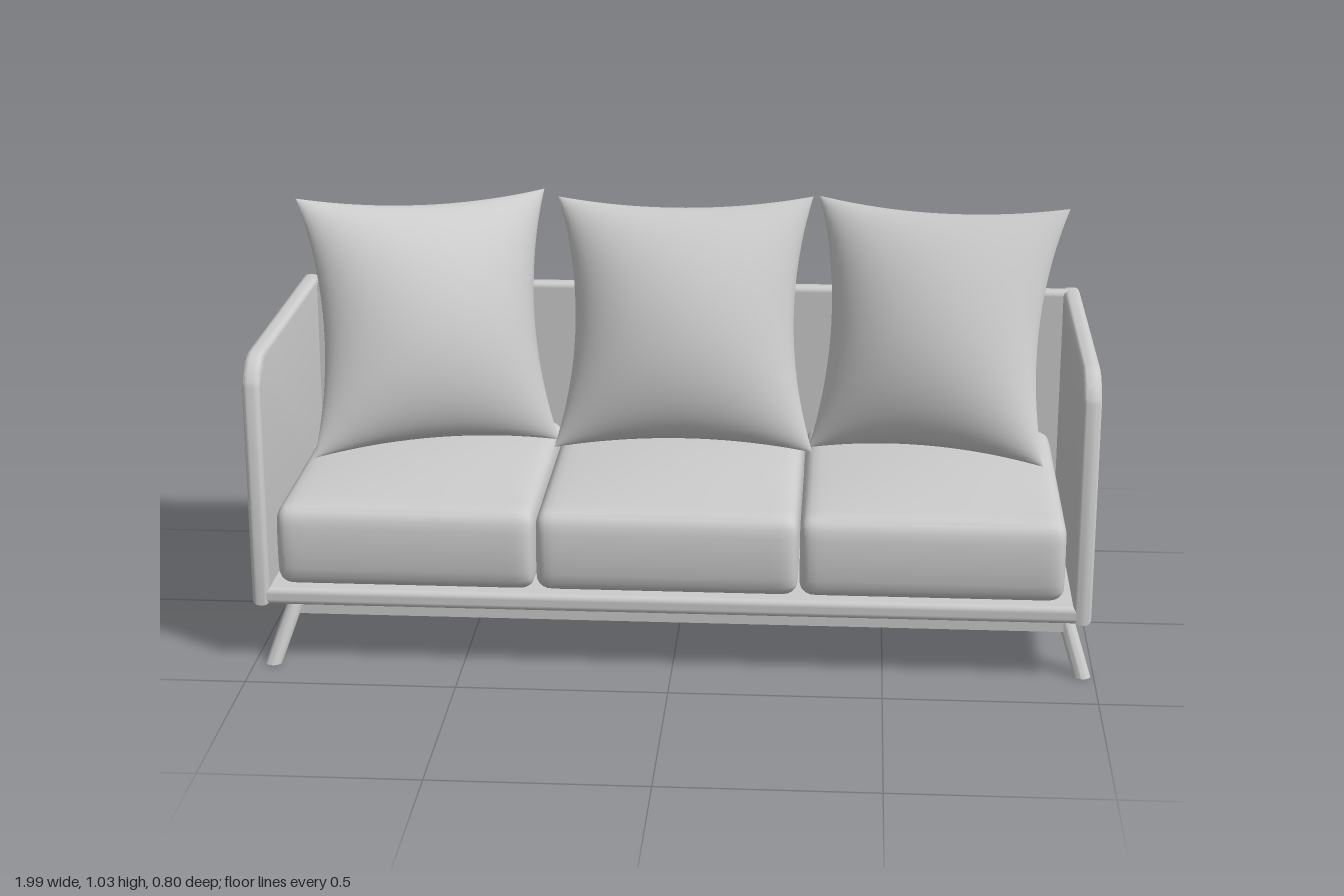
import * as THREE from 'three';
import { mergeVertices, mergeGeometries, toCreasedNormals } from 'three/addons/utils/BufferGeometryUtils.js';
import { RoundedBoxGeometry } from 'three/addons/geometries/RoundedBoxGeometry.js';

const material = new THREE.MeshStandardMaterial({ color: 0xcccccc });
const V = (x, y, z) => new THREE.Vector3(x, y, z);
const ease = (t) => Math.sin(t * Math.PI / 2);

function addMesh(parent, name, geometry) {
  const mesh = new THREE.Mesh(geometry, material);
  mesh.name = name;
  parent.add(mesh);
  return mesh;
}

// Move every vertex of a geometry by a rule
function reshape(geometry, rule) {
  const pos = geometry.attributes.position;
  const p = V(0, 0, 0);
  for (let i = 0; i < pos.count; i++) {
    rule(p.fromBufferAttribute(pos, i));
    pos.setXYZ(i, p.x, p.y, p.z);
  }
  geometry.computeVertexNormals();
  return geometry;
}

// Softly rounded box given by its limits
function panel(x0, x1, y0, y1, z0, z1, r = 0.014) {
  const g = new RoundedBoxGeometry(x1 - x0, y1 - y0, z1 - z0, 3, r);
  return g.translate((x0 + x1) / 2, (y0 + y1) / 2, (z0 + z1) / 2);
}

// Arm panel: side profile with a rounded upper front corner
function armPanel(x0, x1) {
  const b = 0.014;
  const s = new THREE.Shape();
  s.moveTo(-0.37 + b, 0.15 + b);
  s.lineTo(0.39 - b, 0.15 + b);
  s.lineTo(0.39 - b, 0.69);
  s.bezierCurveTo(0.365, 0.715, 0.34, 0.746, 0.30, 0.76 - b);
  s.lineTo(-0.37 + b, 0.76 - b);
  const g = new THREE.ExtrudeGeometry(s, {
    depth: x1 - x0 - 2 * b, bevelSize: b, bevelThickness: b, bevelSegments: 4, curveSegments: 10,
  });
  g.rotateY(-Math.PI / 2).translate(x1 - b, 0, 0);
  return toCreasedNormals(g, 0.6);
}

// Seat cushion: rounded box with a crowned top and a slightly full front
function seatCushion(width) {
  const half = V(width / 2, 0.1, 0.355);
  const r = 0.035;
  const inner = half.clone().subScalar(r);
  let g = new THREE.BoxGeometry(2, 2, 2, 24, 12, 24);
  g.deleteAttribute('normal');
  g.deleteAttribute('uv');
  g = mergeVertices(g);
  return reshape(g, (p) => {
    const u = ease(p.x), v = ease(p.y), w = ease(p.z);
    p.set(u, v, w).multiply(half);
    const core = p.clone().clamp(inner.clone().negate(), inner);
    p.sub(core).setLength(r).add(core);
    if (v > 0) p.y += 0.022 * v * (1 - u * u) * (1 - w * w);
    if (w > 0) p.z += 0.012 * w * (1 - v * v);
  });
}

// Throw pillow: two bulging sheets between four pulled-out corners
function pillow([tl, tr, br, bl], thickness) {
  const right = tr.clone().add(br).sub(tl).sub(bl);
  const up = tl.clone().add(tr).sub(bl).sub(br);
  const normal = right.cross(up).normalize();
  const sheets = [1, -1].map((side) => {
    const g = new THREE.PlaneGeometry(2, 2, 28, 28);
    if (side < 0) g.rotateY(Math.PI);
    return reshape(g, (p) => {
      const u = ease(p.x), v = ease(p.y);
      const a = u * (1 - 0.15 * (1 - v * v));
      const b = v * (1 - 0.09 * (1 - u * u));
      const bulge = thickness * Math.pow(Math.max(0, (1 - u * u) * (1 - v * v)), 0.6);
      const top = tl.clone().lerp(tr, (a + 1) / 2);
      p.copy(bl).lerp(br, (a + 1) / 2).lerp(top, (b + 1) / 2);
      p.addScaledVector(normal, side * bulge);
    });
  });
  return mergeGeometries(sheets);
}

// Splayed leg with a foot cut level with the floor
function leg(foot, top) {
  const h = top.y - foot.y;
  const g = new THREE.CylinderGeometry(0.02, 0.02, h, 20);
  g.translate(0, h / 2, 0);
  reshape(g, (p) => {
    const t = p.y / h;
    p.x += foot.x + (top.x - foot.x) * t;
    p.z += foot.z + (top.z - foot.z) * t;
  });
  return toCreasedNormals(g, 0.8);
}

export function createModel() {
  const sofa = new THREE.Group();
  sofa.name = 'sofa';

  // Upholstered shell
  addMesh(sofa, 'rightArm', armPanel(-1.0, -0.957));
  addMesh(sofa, 'leftArm', armPanel(0.942, 0.985));
  addMesh(sofa, 'backPanel', panel(-0.98, 0.965, 0.15, 0.76, -0.37, -0.327));
  addMesh(sofa, 'seatBase', panel(-0.98, 0.965, 0.15, 0.192, -0.36, 0.388));

  // Open underframe
  const rect = (P, x0, x1, z0, z1) => {
    const s = new P();
    s.moveTo(x0, z0);
    s.lineTo(x1, z0);
    s.lineTo(x1, z1);
    s.lineTo(x0, z1);
    s.closePath();
    return s;
  };
  const frame = rect(THREE.Shape, -0.9, 0.925, -0.325, 0.345);
  frame.holes.push(rect(THREE.Path, -0.88, 0.905, -0.305, 0.325));
  const frameGeometry = new THREE.ExtrudeGeometry(frame, { depth: 0.045, bevelEnabled: false });
  frameGeometry.rotateX(Math.PI / 2).translate(0, 0.155, 0);
  addMesh(sofa, 'underframe', frameGeometry.translate(0, 0, -0.01));

  // Legs: the two ends splay by different amounts
  for (const s of [1, -1]) {
    const end = s > 0 ? 'front' : 'back';
    addMesh(sofa, end + 'RightLeg', leg(V(-0.955, 0, 0.38 * s), V(-0.9, 0.16, 0.317 * s)));
    addMesh(sofa, end + 'LeftLeg', leg(V(0.973, 0, 0.338 * s), V(0.922, 0.16, 0.29 * s)));
  }

  // Seat cushions
  [[-0.935, -0.324], [-0.32, 0.297], [0.301, 0.92]].forEach(([x0, x1], i) => {
    const c = addMesh(sofa, 'seatCushion' + (i + 1), seatCushion(x1 - x0));
    c.position.set((x0 + x1) / 2, 0.3, 0.037);
  });

  // Leaning pillows, corners from top right-hand side around
  const pillows = [
    [V(-0.95, 1.03, -0.08), V(-0.37, 1.0, -0.35), V(-0.315, 0.41, -0.12), V(-0.89, 0.43, 0.12)],
    [V(-0.33, 0.99, -0.31), V(0.31, 1.0, -0.31), V(0.32, 0.40, -0.09), V(-0.325, 0.40, -0.09)],
    [V(0.325, 0.985, -0.38), V(0.94, 1.005, -0.2), V(0.88, 0.43, 0.07), V(0.31, 0.41, -0.1)],
  ];
  pillows.forEach((corners, i) => addMesh(sofa, 'pillow' + (i + 1), pillow(corners, 0.135)));

  return sofa;
}
